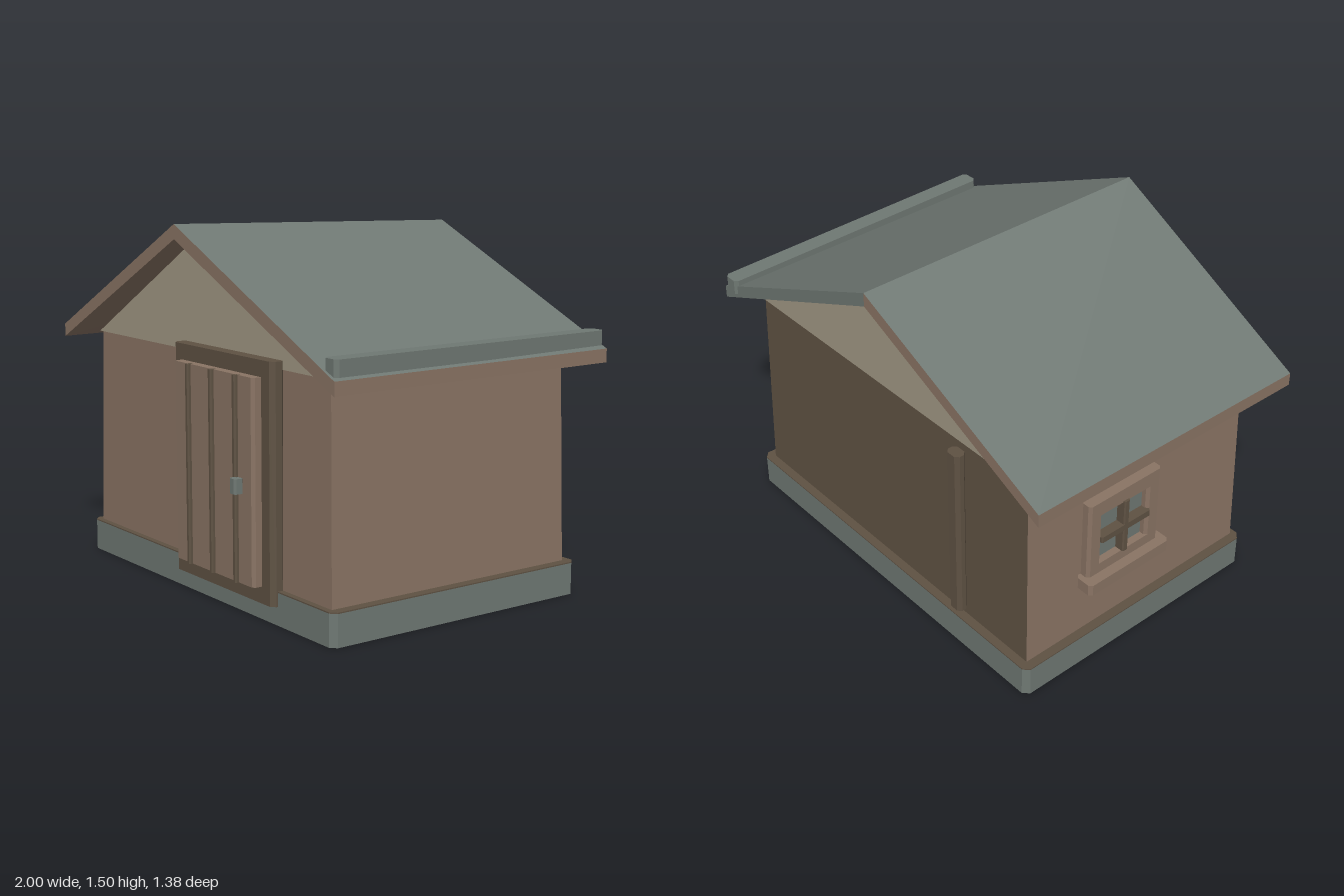
import * as THREE from 'three';

const paint = (name, color) => Object.assign(new THREE.MeshStandardMaterial({ color, flatShading: true }), { name });

export function createModel() {
  const grey = paint('slateGrey', 0x6f7873);
  const brown = paint('warmBrown', 0x8a7464);
  const dark = paint('darkBrown', 0x5f5243);
  const cream = paint('paleCream', 0xa39985);

  const house = new THREE.Group();
  house.name = 'cabin';

  const add = (parent, name, geometry, material) => {
    const mesh = new THREE.Mesh(geometry, material);
    mesh.name = name;
    parent.add(mesh);
    return mesh;
  };

  // Solid between a front ring (counter-clockwise from +z) and a back ring;
  // materials are listed as front, back, then one per side
  const prism = (name, front, back, materials) => {
    const n = front.length;
    const faces = [front, [...back].reverse()];
    for (let i = 0; i < n; i++) {
      const j = (i + 1) % n;
      faces.push([front[i], back[i], back[j], front[j]]);
    }
    const positions = [];
    const geometry = new THREE.BufferGeometry();
    faces.forEach((face, k) => {
      const start = positions.length / 3;
      for (let i = 1; i < face.length - 1; i++) positions.push(...face[0], ...face[i], ...face[i + 1]);
      geometry.addGroup(start, positions.length / 3 - start, k);
    });
    geometry.setAttribute('position', new THREE.Float32BufferAttribute(positions, 3));
    geometry.computeVertexNormals();
    return add(house, name, geometry, materials);
  };

  // Box from min/max corners with its upright edges cut off by c
  const block = (parent, name, material, [x0, x1], [y0, y1], [z0, z1], c) => {
    const w = (x1 - x0) / 2, d = (z1 - z0) / 2;
    const outline = [[-w + c, -d], [w - c, -d], [w, -d + c], [w, d - c],
      [w - c, d], [-w + c, d], [-w, d - c], [-w, -d + c]];
    const shape = new THREE.Shape(outline.map(([x, y]) => new THREE.Vector2(x, y)));
    const geometry = new THREE.ExtrudeGeometry(shape, { depth: y1 - y0, bevelEnabled: false });
    geometry.rotateX(-Math.PI / 2);
    const mesh = add(parent, name, geometry, material);
    mesh.position.set((x0 + x1) / 2, y0, (z0 + z1) / 2);
    return mesh;
  };

  const group = (name) => {
    const g = new THREE.Group();
    g.name = name;
    house.add(g);
    return g;
  };

  // Plinth with a timber floor on top
  block(house, 'plinth', grey, [-0.9, 0.9], [0, 0.13], [-0.64, 0.59], 0.024);
  block(house, 'floor', dark, [-0.9, 0.9], [0.13, 0.135], [-0.64, 0.59], 0.024);

  // Walls lean slightly inwards
  const wallRing = (bottomZ, topZ) => [
    [-0.86, 0.135, bottomZ], [0.86, 0.135, bottomZ], [0.84, 0.99, topZ], [-0.84, 0.99, topZ]];
  prism('walls', wallRing(0.565, 0.555), wallRing(-0.602, -0.587), [brown, dark, brown, brown, brown, brown]);

  // Gables
  prism('gables',
    [[-0.865, 0.985, 0.558], [0.865, 0.985, 0.558], [-0.07, 1.435, 0.558]],
    [[-0.865, 0.985, -0.59], [0.865, 0.985, -0.59], [-0.02, 1.405, -0.59]],
    [cream, cream, brown, cream, cream]);

  // Roof slabs meeting at a crooked ridge
  const F = 0.66, B = -0.68;
  const ridge = { fb: [-0.06, 1.44, F], ft: [-0.06, 1.5, F], bb: [-0.01, 1.41, B], bt: [-0.01, 1.47, B] };
  prism('rightRoof',
    [[-1, 0.955, F], ridge.fb, ridge.ft, [-1, 1.01, F]],
    [[-1, 0.962, B], ridge.bb, ridge.bt, [-1, 1.02, B]],
    [brown, brown, brown, brown, grey, brown]);
  prism('leftRoof',
    [ridge.fb, [1, 0.955, F], [1, 1.01, F], ridge.ft],
    [ridge.bb, [1, 0.96, B], [1, 1.015, B], ridge.bt],
    [brown, grey, brown, brown, grey, brown]);

  // Gutter along the left eave
  block(house, 'gutter', grey, [0.907, 0.985], [1.02, 1.085], [-0.69, 0.648], 0.015).rotation.y = 0.0135;

  // Door
  const door = group('door');
  block(door, 'doorFrame', dark, [-0.15, 0.55], [0.075, 1.02], [0.55, 0.615], 0.018);
  block(door, 'doorPanel', brown, [-0.08, 0.48], [0.143, 0.955], [0.6, 0.655], 0.012);
  for (const x of [0.032, 0.2, 0.368]) {
    block(door, 'doorBatten', dark, [x - 0.012, x + 0.012], [0.143, 0.955], [0.64, 0.67], 0.006);
  }
  block(door, 'doorHandle', grey, [0.37, 0.412], [0.5, 0.56], [0.65, 0.692], 0.008);

  // Post on the back wall
  block(house, 'backPost', dark, [-0.505, -0.435], [0.17, 0.96], [-0.647, -0.597], 0.015);

  // Window on the right wall
  const win = group('window');
  const [z0, z1, zc] = [-0.34, 0.04, -0.15];
  const frameX = [-0.917, -0.865];
  block(win, 'windowPane', grey, [-0.885, -0.845], [0.5, 0.75], [z0 + 0.06, z1 - 0.06], 0.004);
  for (const [a, b] of [[z0, z0 + 0.07], [z1 - 0.07, z1]]) {
    block(win, 'windowJamb', brown, frameX, [0.43, 0.81], [a, b], 0.012);
  }
  for (const [a, b] of [[0.43, 0.5], [0.745, 0.81]]) {
    block(win, 'windowRail', brown, frameX, [a, b], [z0 + 0.05, z1 - 0.05], 0.001);
  }
  block(win, 'windowMullion', dark, [-0.927, -0.88], [0.5, 0.75], [zc - 0.014, zc + 0.014], 0.005);
  block(win, 'windowCrossbar', dark, [-0.927, -0.88], [0.608, 0.636], [z0 + 0.06, z1 - 0.06], 0.005);
  block(win, 'windowSill', brown, [-0.96, -0.875], [0.405, 0.455], [z0 - 0.025, z1 + 0.025], 0.014);

  return house;
}
